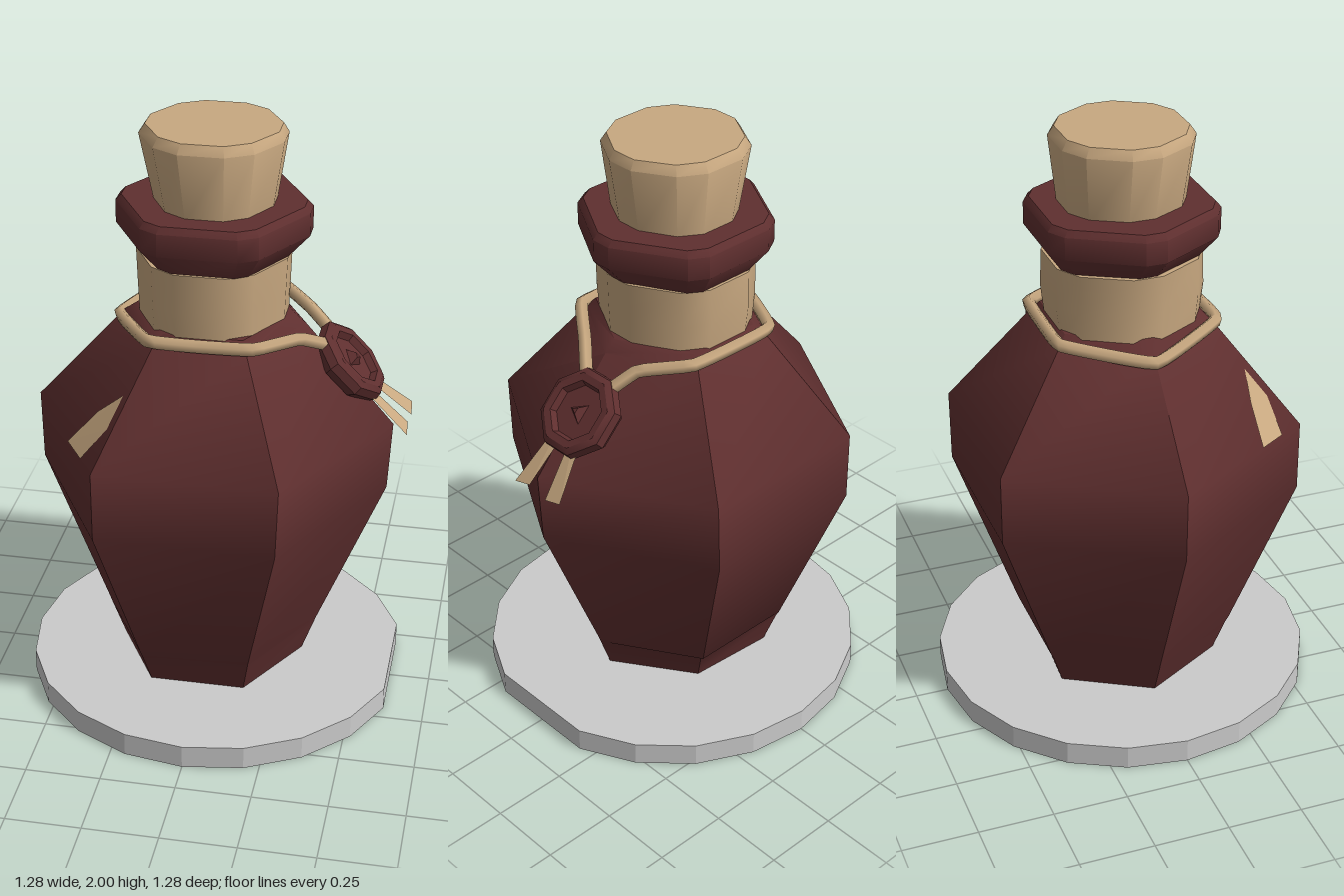
import * as THREE from 'three';
import { toCreasedNormals } from 'three/addons/utils/BufferGeometryUtils.js';

const mat = (name, color, side = THREE.FrontSide) => {
  const m = new THREE.MeshStandardMaterial({ color, side });
  m.name = name;
  return m;
};

// Six-sided ring from x0 to x1, half depth rz; t cuts the corners.
function hexRing(y, x0, x1, rz, t = 0) {
  const cx = (x0 + x1) / 2, rx = (x1 - x0) / 2;
  const corners = [];
  for (let i = 0; i < 6; i++) {
    const a = i * Math.PI / 3;
    corners.push(new THREE.Vector3(cx + rx * Math.cos(a), y, rz * Math.sin(a) / Math.sin(Math.PI / 3)));
  }
  if (!t) return corners;
  return corners.flatMap((c, i) => [
    c.clone().lerp(corners[(i + 5) % 6], t),
    c.clone().lerp(corners[(i + 1) % 6], t),
  ]);
}

// Skin between stacked rings, closed at both ends.
function loft(rings, crease = 0.8) {
  const pos = [], n = rings[0].length;
  const tri = (...v) => v.forEach((p) => pos.push(p.x, p.y, p.z));
  const middle = (r) => r.reduce((s, p) => s.add(p), new THREE.Vector3()).divideScalar(n);
  const first = rings[0], last = rings[rings.length - 1];
  const low = middle(first), high = middle(last);
  for (let j = 0; j < n; j++) {
    const k = (j + 1) % n;
    for (let i = 0; i + 1 < rings.length; i++) {
      const a = rings[i], b = rings[i + 1];
      tri(a[j], b[j], a[k]);
      tri(a[k], b[j], b[k]);
    }
    tri(low, first[j], first[k]);
    tri(high, last[k], last[j]);
  }
  const g = new THREE.BufferGeometry();
  g.setAttribute('position', new THREE.Float32BufferAttribute(pos, 3));
  g.computeVertexNormals();
  return toCreasedNormals(g, crease);
}

// Flat convex polygon from a few corners.
function patch(points) {
  const g = new THREE.BufferGeometry();
  g.setAttribute('position', new THREE.Float32BufferAttribute(points.flat(), 3));
  const idx = [];
  for (let i = 1; i + 1 < points.length; i++) idx.push(0, i, i + 1);
  g.setIndex(idx);
  const flat = g.toNonIndexed();
  flat.computeVertexNormals();
  return flat;
}

export function createModel() {
  const group = new THREE.Group();
  const red = mat('dark red', 0x5f2f2f);
  const tan = mat('tan', 0xc8a880);
  const tanThin = tan.clone();
  tanThin.side = THREE.DoubleSide;
  const grey = mat('light grey', 0xcbcbcb);
  const add = (name, geometry, material, parent = group) => {
    const m = new THREE.Mesh(geometry, material);
    m.name = name;
    parent.add(m);
    return m;
  };

  // Base disc with one side cut straight
  const outline = [];
  for (let i = 1; i < 20; i++) {
    const a = i * Math.PI / 10;
    outline.push(new THREE.Vector2(0.645 * Math.cos(a), 0.64 * Math.sin(a)));
  }
  const disc = new THREE.ExtrudeGeometry(new THREE.Shape(outline), { depth: 0.08, bevelEnabled: false });
  disc.rotateX(-Math.PI / 2);
  add('baseDisc', disc, grey);

  // Faceted body with a chip at the foot of one back corner
  const body = [
    hexRing(0.08, -0.34, 0.3, 0.28),
    hexRing(0.19, -0.383, 0.34, 0.315),
    hexRing(0.21, -0.39, 0.347, 0.325),
    hexRing(0.76, -0.605, 0.572, 0.513),
    hexRing(1.0, -0.61, 0.585, 0.513),
    hexRing(1.34, -0.31, 0.29, 0.265),
    hexRing(1.375, -0.26, 0.25, 0.235),
  ];
  for (const ring of body.slice(0, 2)) {
    ring[5].x *= 0.88;
    ring[5].z *= 0.93;
  }
  add('body', loft(body), red);

  // Neck, lip and cork
  add('neck', loft([
    hexRing(1.33, -0.275, 0.25, 0.235, 0.2),
    hexRing(1.46, -0.28, 0.255, 0.25, 0.2),
    hexRing(1.585, -0.285, 0.26, 0.245, 0.2),
  ]), tan);
  add('lip', loft([
    hexRing(1.57, -0.25, 0.235, 0.225, 0.12),
    hexRing(1.66, -0.345, 0.32, 0.287, 0.12),
    hexRing(1.735, -0.345, 0.32, 0.287, 0.12),
    hexRing(1.755, -0.325, 0.3, 0.27, 0.12),
  ]), red);
  add('cork', loft([
    hexRing(1.74, -0.22, 0.205, 0.195, 0.22),
    hexRing(1.97, -0.272, 0.245, 0.22, 0.22),
    hexRing(2.0, -0.25, 0.225, 0.2, 0.22),
  ]), tan);

  // Cord around the neck, dipping on both sides and down to the seal
  const cord = new THREE.CatmullRomCurve3([
    [-0.325, 1.325, 0], [-0.175, 1.36, 0.262], [0, 1.358, 0.268], [0.16, 1.36, 0.262],
    [0.28, 1.335, 0.11], [0.36, 1.275, 0.01],
    [0.36, 1.275, -0.09], [0.28, 1.335, -0.14], [0.16, 1.36, -0.262], [0, 1.358, -0.268], [-0.175, 1.36, -0.262],
  ].map((p) => new THREE.Vector3(...p)), true, 'catmullrom', 0.15);
  add('neckCord', new THREE.TubeGeometry(cord, 66, 0.022, 5, true), tan);

  // Seal: raised rim, sunken middle and a small wedge
  const seal = new THREE.Group();
  seal.name = 'seal';
  seal.position.set(0.425, 1.19, -0.04);
  seal.rotation.z = -0.8;
  group.add(seal);
  const profile = [[0, -0.03], [0.13, -0.03], [0.15, 0], [0.145, 0.03], [0.125, 0.042], [0.1, 0.04], [0.09, 0.018], [0, 0.018]]
    .map(([x, y]) => new THREE.Vector2(x, y));
  const wax = new THREE.LatheGeometry(profile, 8, Math.PI / 8).toNonIndexed();
  add('sealDisc', toCreasedNormals(wax, 0.5), red, seal);
  const wedge = add('sealWedge', toCreasedNormals(new THREE.CylinderGeometry(0.012, 0.04, 0.025, 3), 0.3), red, seal);
  wedge.position.y = 0.03;

  // Two loose cord ends under the seal
  const tails = [
    { name: 'cordEndFront', z0: 0, z1: 0.015 },
    { name: 'cordEndBack', z0: -0.06, z1: -0.13 },
  ];
  for (const { name, z0, z1 } of tails) {
    add(name, patch([
      [0.45, 1.165, z0 + 0.02], [0.635, 0.99, z1 + 0.035],
      [0.63, 1.005, z1 - 0.03], [0.45, 1.165, z0 - 0.02],
    ]), tanThin);
  }

  // Worn patch on the front shoulder
  add('shoulderPatch', patch([
    [-0.43, 1.01, 0.33], [-0.365, 1.005, 0.425], [-0.28, 1.11, 0.405],
    [-0.24, 1.2, 0.34], [-0.33, 1.125, 0.325],
  ]), tanThin);

  return group;
}
